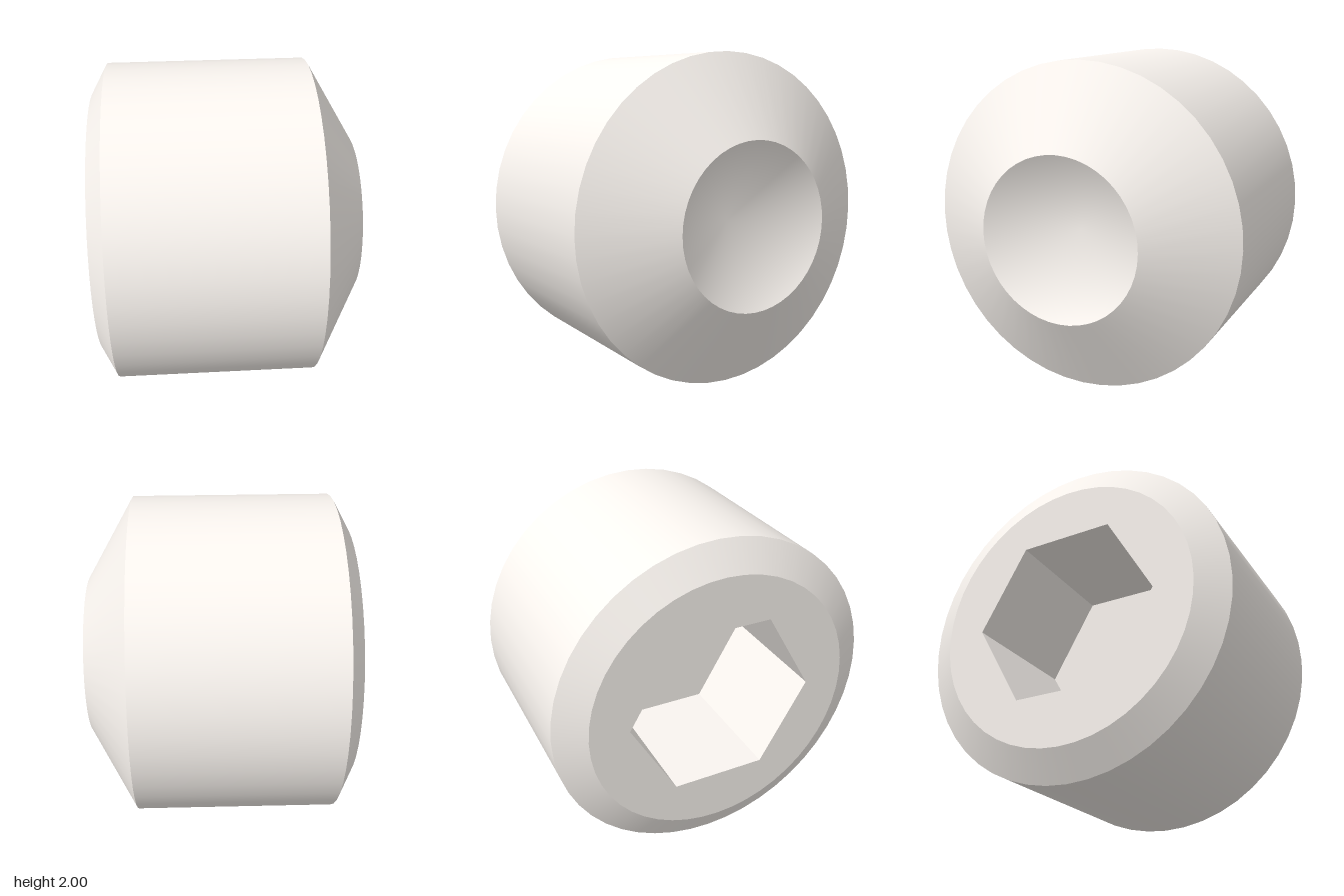
import * as THREE from 'three';
import { mergeVertices } from 'three/addons/utils/BufferGeometryUtils.js';

const SEGMENTS = 48;
const HEX_RADIUS = 0.577;
const BACK = -0.8;
const COLOR = 0xfaf5f0;

export function createModel() {
  const model = new THREE.Group();
  model.name = 'setScrew';
  const smooth = new THREE.MeshStandardMaterial({ color: COLOR });
  const faceted = new THREE.MeshStandardMaterial({ color: COLOR, flatShading: true });

  function add(name, geometry, material) {
    const mesh = new THREE.Mesh(geometry, material);
    mesh.name = name;
    mesh.position.y = 1;
    model.add(mesh);
  }

  // Revolves [radius, x] points about the x axis
  function revolve(points, segments) {
    const profile = points.map(([r, x]) => new THREE.Vector2(r, x));
    return new THREE.LatheGeometry(profile, segments).rotateZ(-Math.PI / 2);
  }

  // Points of a regular polygon, the first on the +z side
  function polygon(radius, sides) {
    return Array.from({ length: sides }, (_, i) => {
      const a = (i / sides) * Math.PI * 2;
      return new THREE.Vector2(radius * Math.cos(a), radius * Math.sin(a));
    });
  }

  // Turned surfaces, one each so that the edges between them stay sharp
  add('rearChamfer', revolve([[0.82, BACK], [1, -0.7]], SEGMENTS), smooth);
  add('body', revolve([[1, -0.7], [1, 0.51]], SEGMENTS), smooth);
  add('pointTaper', revolve([[1, 0.51], [0.5, 0.8]], SEGMENTS), smooth);

  // Conical cup, its tip welded so that the shading blends softly at the centre
  let cup = revolve([[0.5, 0.8], [0, 0.51]], SEGMENTS);
  cup.deleteAttribute('normal');
  cup.deleteAttribute('uv');
  cup = mergeVertices(cup);
  cup.computeVertexNormals();
  add('cupHollow', cup, smooth);

  // Flat rear face with the hexagonal opening
  const face = new THREE.Shape(polygon(0.82, SEGMENTS));
  face.holes.push(new THREE.Path(polygon(HEX_RADIUS, 6)));
  const faceGeometry = new THREE.ShapeGeometry(face).rotateY(-Math.PI / 2);
  add('rearFace', faceGeometry.translate(BACK, 0, 0), smooth);

  // Hexagonal socket: floor and inward-facing walls
  const socket = revolve([[0, 0], [HEX_RADIUS, 0], [HEX_RADIUS, BACK]], 6).toNonIndexed();
  socket.computeVertexNormals();
  add('hexSocket', socket, faceted);

  return model;
}
